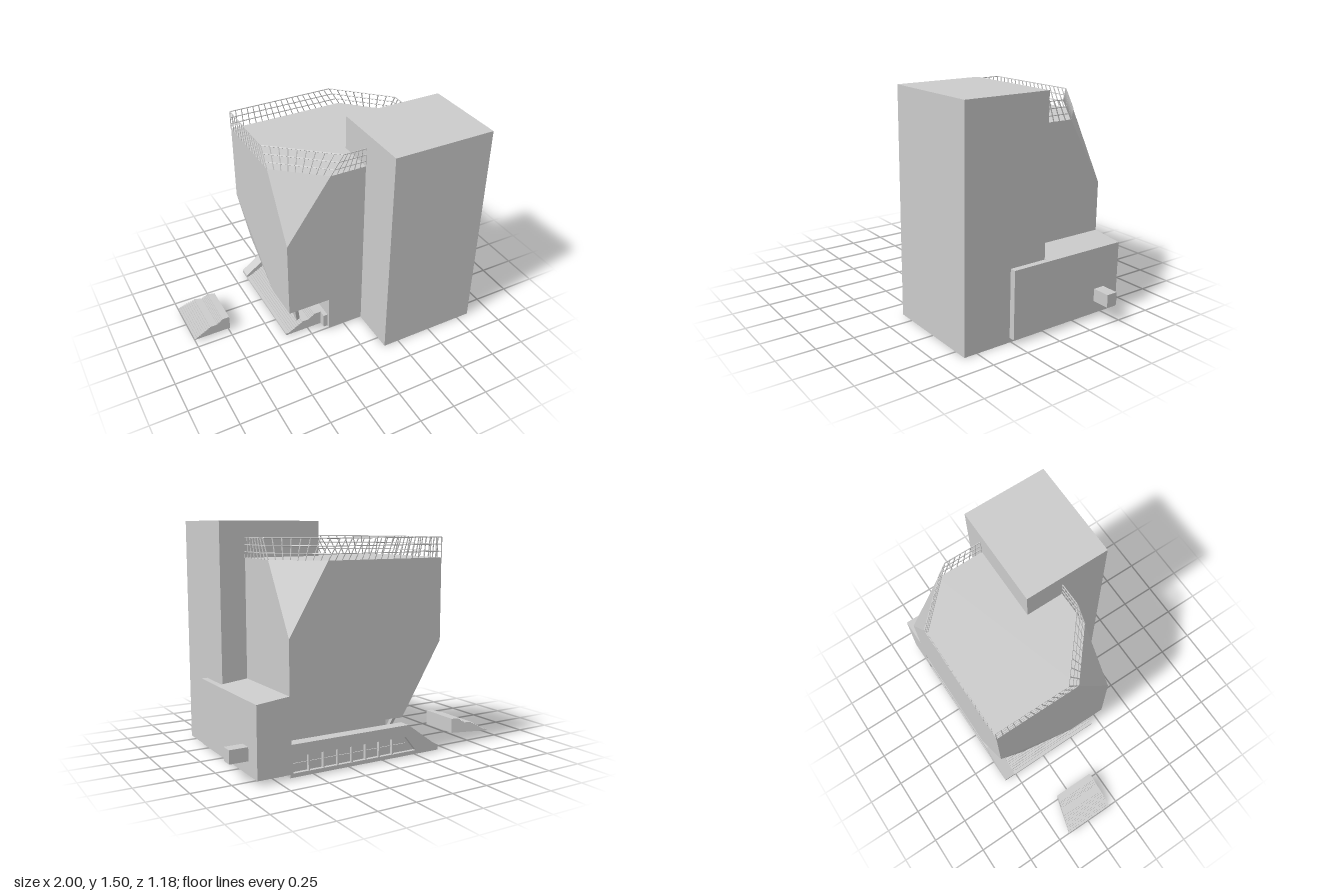
import * as THREE from 'three';
import { mergeGeometries } from 'three/addons/utils/BufferGeometryUtils.js';
import { ConvexGeometry } from 'three/addons/geometries/ConvexGeometry.js';

const V = (x, y, z) => new THREE.Vector3(x, y, z);

export function createModel() {
  const model = new THREE.Group();
  const grey = new THREE.MeshStandardMaterial({ color: 0xcccccc, flatShading: true });

  const add = (name, geometry) => {
    const mesh = new THREE.Mesh(geometry, grey);
    mesh.name = name;
    model.add(mesh);
    return mesh;
  };

  // Box given by its extents
  const boxGeo = (x0, x1, y0, y1, z0, z1) =>
    new THREE.BoxGeometry(x1 - x0, y1 - y0, z1 - z0)
      .translate((x0 + x1) / 2, (y0 + y1) / 2, (z0 + z1) / 2);

  // Square bar between two points
  const barGeo = (a, b, size) => {
    const dir = b.clone().sub(a);
    const geo = new THREE.BoxGeometry(size, dir.length(), size);
    geo.applyQuaternion(new THREE.Quaternion().setFromUnitVectors(V(0, 1, 0), dir.normalize()));
    const mid = a.clone().lerp(b, 0.5);
    return geo.translate(mid.x, mid.y, mid.z);
  };

  // Profile in x and y, extruded from z0 to z1
  const prismGeo = (points, z0, z1, hole) => {
    const shape = new THREE.Shape(points.map(p => new THREE.Vector2(...p)));
    if (hole) shape.holes.push(new THREE.Path(hole.map(p => new THREE.Vector2(...p))));
    return new THREE.ExtrudeGeometry(shape, { depth: z1 - z0, bevelEnabled: false }).translate(0, 0, z0);
  };

  // Tall front tower
  add('tower', boxGeo(0.14, 0.84, 0, 1.5, 0, 0.59));

  // Hall with two upper corners sliced off and one lower corner undercut
  const apex = V(-0.42, 0.74, -0.59);
  add('hall', new ConvexGeometry([
    V(-0.11, 1.27, 0.26), V(-0.42, 1.27, 0), V(-0.42, 1.27, -0.59),
    V(0.41, 1.27, -0.59), V(0.67, 1.27, -0.33), V(0.67, 1.27, 0.26),
    V(-0.42, 0.83, 0.26), V(0.67, 0.83, -0.59), apex,
    V(-0.13, 0.27, -0.59), V(-0.40, 0.46, -0.42), V(-0.42, 0.27, -0.01),
    V(-0.42, 0.27, 0.26), V(0.67, 0.27, 0.26), V(0.67, 0.27, -0.59),
  ]));

  // Ground floor core and floor slab
  add('groundFloor', boxGeo(-0.12, 0.67, 0.01, 0.27, -0.42, 0.26));
  add('floorSlab', boxGeo(-0.42, 0.67, 0.01, 0.025, -0.585, 0.19));

  // Side annex with gently sloping roof, front panel and duct
  add('annex', prismGeo([[0.66, 0.03], [0.88, 0.03], [0.88, 0.475], [0.66, 0.5]], -0.59, 0));
  add('annexPanel', boxGeo(0.80, 0.88, 0.03, 0.475, 0, 0.26));
  add('annexDuct', boxGeo(0.88, 1, 0.115, 0.2, -0.47, -0.39));

  // Back parapet with a long window, sloping down beside the stairs
  add('backParapet', prismGeo(
    [[-0.42, 0.01], [0.67, 0.01], [0.67, 0.21], [-0.18, 0.21], [-0.42, 0.035]], -0.59, -0.51,
    [[-0.24, 0.035], [-0.16, 0.135], [0.65, 0.135], [0.65, 0.035]]));
  add('backWindow', boxGeo(-0.25, 0.66, 0.03, 0.14, -0.565, -0.555));
  const mullions = [];
  for (let i = 1; i < 8; i++) {
    const x = -0.16 + i * 0.1;
    mullions.push(boxGeo(x - 0.004, x + 0.004, 0.035, 0.135, -0.585, -0.56));
  }
  mullions.push(boxGeo(-0.17, 0.65, 0.085, 0.089, -0.572, -0.56));
  add('windowMullions', mergeGeometries(mullions));
  // Terrace behind the parapet
  add('terrace', boxGeo(-0.12, 0.67, 0.15, 0.17, -0.52, -0.41));

  // Two flights of steps with landings, rising toward +x
  const stepsGeo = (x0, z0, z1) => {
    const pts = [[x0 + 0.26, 0.015], [x0 + 0.26, 0.117]];
    const flight = (xa, ya, xb, yb, n) => {
      for (let i = n; i > 0; i--) {
        const x = xa + (xb - xa) * (i - 1) / n;
        pts.push([x, ya + (yb - ya) * i / n], [x, ya + (yb - ya) * (i - 1) / n]);
      }
    };
    flight(x0 + 0.17, 0.085, x0 + 0.22, 0.117, 5);
    flight(x0, 0.015, x0 + 0.13, 0.085, 9);
    return prismGeo(pts.reverse(), z0, z1);
  };
  add('entranceSteps', stepsGeo(-0.41, -0.52, 0.19));
  add('entranceLanding', boxGeo(-0.15, -0.11, 0.015, 0.117, -0.52, 0.24));

  // Separate steps, their back end cut at a slant
  const outer = stepsGeo(-1, -0.42, -0.06);
  const pos = outer.attributes.position;
  for (let i = 0; i < pos.count; i++) {
    if (pos.getZ(i) < -0.2) pos.setZ(i, -0.42 + (pos.getX(i) + 1) * 0.29);
  }
  outer.computeVertexNormals();
  add('outerSteps', outer);

  // V-shaped columns under the overhang
  const columns = [];
  for (const [foot, tops] of [[-0.17, [-0.3, -0.1]], [0.13, [0.04, 0.17]]]) {
    for (const top of tops) columns.push(barGeo(V(-0.3, 0.05, foot), V(-0.34, 0.3, top), 0.024));
  }
  columns.push(barGeo(V(-0.11, 0.18, 0.1), V(-0.165, 0.28, 0.1), 0.024));
  add('columns', mergeGeometries(columns));

  // Small fixtures on the front slope
  for (const [x, y, z] of [[-0.32, 1.0, 0.2], [-0.27, 1.06, 0.18]]) {
    add('slopeFixture', boxGeo(x - 0.015, x + 0.015, y, y + 0.008, z - 0.04, z + 0.02));
  }

  // Roof railing: each panel spans a lower and an upper edge; panels over the slices lean inward
  const lower = [[0.14, 0.26], [-0.11, 0.26], [-0.42, 0], [-0.42, -0.59], [0.41, -0.59], [0.67, -0.33], [0.67, 0]];
  const upper = [[0.14, 0.26], [-0.02, 0.26], [-0.42, -0.08], [-0.42, -0.59], [0.33, -0.59], [0.67, -0.26], [0.67, 0]];
  const rails = [];
  for (let i = 0; i < 6; i++) {
    const [b0, b1] = [lower[i], lower[i + 1]].map(([x, z]) => V(x, 1.27, z));
    const [t0, t1] = [upper[i], upper[i + 1]].map(([x, z]) => V(x, 1.398, z));
    for (const h of [0.3, 0.65, 1]) {
      rails.push(barGeo(b0.clone().lerp(t0, h), b1.clone().lerp(t1, h), 0.005));
    }
    const n = Math.max(3, Math.round(b0.distanceTo(b1) / 0.045));
    for (let k = 0; k <= n; k++) {
      rails.push(barGeo(b0.clone().lerp(b1, k / n), t0.clone().lerp(t1, k / n), 0.005));
    }
  }
  add('roofRailing', mergeGeometries(rails));

  return model;
}
